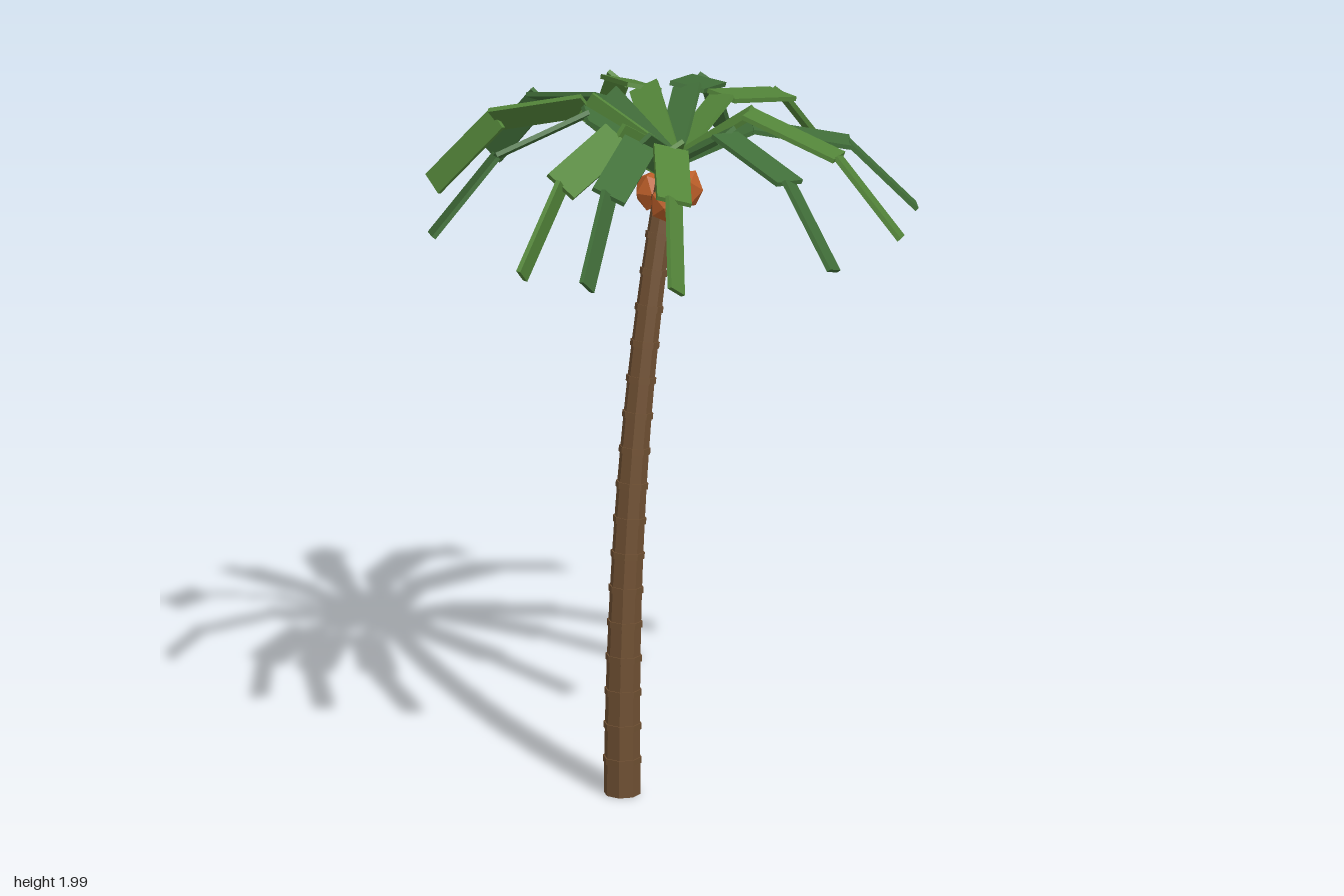
import * as THREE from 'three';

const flat = (hex, name) => {
  const m = new THREE.MeshStandardMaterial({ color: hex, flatShading: true });
  m.name = name;
  return m;
};

export function createModel() {
  const bark = flat(0x6e4f32, 'bark brown');
  const lightLeaf = flat(0x54863a, 'light green');
  const darkLeaf = flat(0x42703a, 'dark green');
  const nut = flat(0xb95d28, 'coconut orange');

  const tree = new THREE.Group();
  tree.name = 'palmTree';
  const add = (parent, name, geo, mat) => {
    const mesh = new THREE.Mesh(geo, mat);
    mesh.name = name;
    parent.add(mesh);
    return mesh;
  };
  // Turn a mesh so its local axis runs from a to b, centred between them
  const align = (mesh, axis, a, b) => {
    mesh.position.copy(a).lerp(b, 0.5);
    mesh.quaternion.setFromUnitVectors(axis, b.clone().sub(a).normalize());
  };
  const X = new THREE.Vector3(1, 0, 0);
  const Y = new THREE.Vector3(0, 1, 0);

  // Leaning, tapering eight-sided trunk with a thin ring at each joint
  const trunk = new THREE.Group();
  trunk.name = 'trunk';
  tree.add(trunk);
  const count = 18;
  const trunkPoint = (t) => {
    const bend = Math.pow(t, 2.3);
    return new THREE.Vector3(-0.165 + 0.175 * bend, 1.79 * t, 0.172 - 0.165 * bend);
  };
  const trunkRadius = (t) => 0.052 - 0.02 * t;
  const octagon = (top, bottom, h) => new THREE.CylinderGeometry(top, bottom, h, 8).rotateY(Math.PI / 8);
  for (let i = 0; i < count; i++) {
    const t0 = i / count, t1 = (i + 1) / count;
    const a = trunkPoint(t0), b = trunkPoint(t1);
    const segment = add(trunk, 'trunkSegment',
      octagon(trunkRadius(t1), trunkRadius(t0), a.distanceTo(b) + 0.002), bark);
    align(segment, Y, a, b);
    if (i === 0) continue;
    const r = trunkRadius(t0) + 0.004;
    const ring = add(trunk, 'trunkRing', octagon(r, r, 0.018), bark);
    align(ring, Y, a, b);
    ring.position.copy(a);
  }

  // Fronds: angle around the crown, height of first bend, height of second bend
  const crown = new THREE.Vector3(0.005, 1.785, 0);
  const fronds = [
    [-93, 1.93, 1.865], [-64, 1.93, 1.86], [-38, 1.92, 1.855], [10, 1.89, 1.84],
    [33, 1.96, 1.865], [61, 1.93, 1.86], [101, 1.91, 1.85], [122, 1.92, 1.855],
    [139, 1.93, 1.86], [175, 1.955, 1.86], [-148, 1.93, 1.86], [-122, 1.92, 1.855],
  ];
  const widths = [0.085, 0.1, 0.07];
  fronds.forEach(([degrees, y1, y2], i) => {
    const frond = new THREE.Group();
    frond.name = 'frond';
    tree.add(frond);
    const angle = THREE.MathUtils.degToRad(degrees);
    const at = (r, y) => new THREE.Vector3(
      crown.x + r * Math.cos(angle), y, crown.z + r * Math.sin(angle));
    const path = [at(0, crown.y), at(0.24, y1), at(0.505, y2), at(0.69, 1.65)];
    widths.forEach((w, k) => {
      const a = path[k], b = path[k + 1];
      const leaf = add(frond, 'frondSegment',
        new THREE.BoxGeometry(a.distanceTo(b) + 0.008, 0.013, w), i % 2 ? darkLeaf : lightLeaf);
      align(leaf, X, a, b);
    });
  });

  // Coconuts hanging below the crown
  [[0.065, 1.7, -0.02], [-0.035, 1.695, -0.04], [-0.015, 1.69, 0.06]].forEach(([x, y, z], i) => {
    const coconut = add(tree, 'coconut', new THREE.IcosahedronGeometry(0.05, 0), nut);
    coconut.scale.set(0.95, 1.2, 0.95);
    coconut.rotation.y = i * 0.9;
    coconut.position.set(x, y, z);
  });

  return tree;
}
